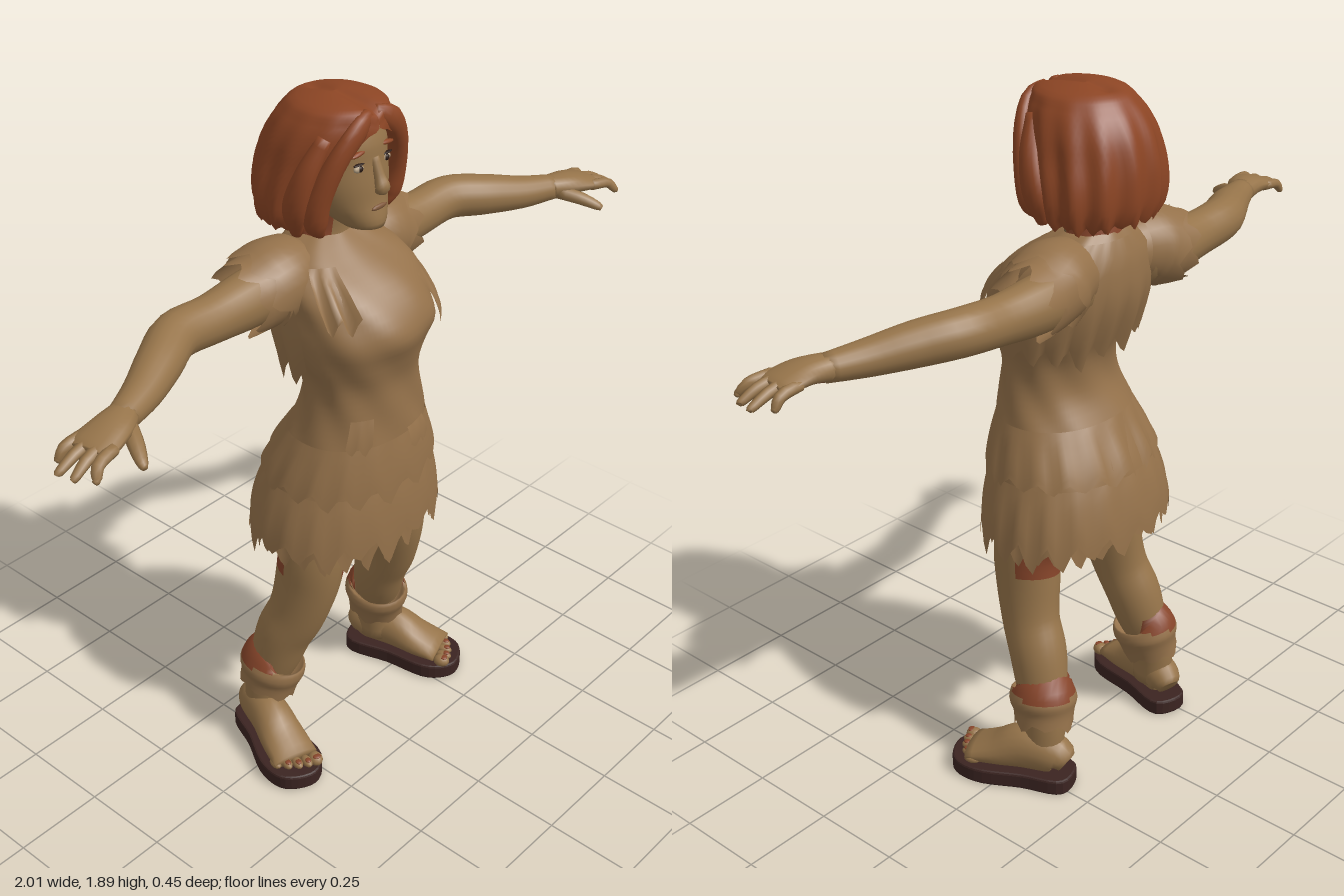
import * as THREE from 'three';

const paint = (name, color, side = THREE.DoubleSide) => {
  const m = new THREE.MeshStandardMaterial({ color, side });
  m.name = name;
  return m;
};
const V = (x, y, z) => new THREE.Vector3(x, y, z);
const rnd = (i, seed) => { const x = Math.sin(i * 127.1 + seed * 311.7) * 43758.5; return x - Math.floor(x); };
// torn-edge tooth length, 0..1, four columns per tooth
const jag = (j, seed) => [0, 0.7, 1, 0.35][j & 3] * (0.35 + 0.65 * rnd(j >> 2, seed));

// smooth lookup through rows of [t, ...values]
function profile(rows) {
  const ip = new THREE.CubicInterpolant(rows.map(r => r[0]), rows.flatMap(r => r.slice(1)), rows[0].length - 1);
  return t => [...ip.evaluate(t)];
}

// closed or open sheet of quads; pick chooses a material for each quad
function grid(name, mat, cols, rows, fn, wrap = true, pick = null) {
  const w = wrap ? cols : cols + 1, pts = [], geo = new THREE.BufferGeometry();
  for (let i = 0; i <= rows; i++) for (let j = 0; j < w; j++) pts.push(fn(j, i));
  const lists = [[], []];
  for (let i = 0; i < rows; i++) for (let j = 0; j < cols; j++) {
    const k = (j + 1) % w, a = i * w + j, b = i * w + k, c = b + w, d = a + w;
    const mid = pts[a].clone().add(pts[c]).multiplyScalar(0.5);
    lists[pick && pick(mid) ? 1 : 0].push(a, b, c, a, c, d);
  }
  geo.setFromPoints(pts);
  geo.setIndex([...lists[0], ...lists[1]]);
  if (pick) {
    geo.addGroup(0, lists[0].length, 0);
    geo.addGroup(lists[0].length, lists[1].length, 1);
  }
  geo.computeVertexNormals();
  const mesh = new THREE.Mesh(geo, mat);
  mesh.name = name;
  return mesh;
}

// body of elliptical sections through keys [x, y, z, sideRadius, upRadius]
function limb(name, mat, keys, { n = 14, rows = 14, up = V(0, 1, 0), cap = true, tear = 0, seed = 1, pick = null } = {}) {
  const p = profile(keys.map((k, i) => [i, ...k])), last = keys.length - 1, extra = cap ? 1 : 0;
  return grid(name, mat, n, rows + 2 * extra, (j, i) => {
    const v = THREE.MathUtils.clamp((i - extra) / rows, 0, 1), t = v * last;
    const size = cap && (i === 0 || i === rows + 2) ? 0 : 1;
    const [x, y, z, ra, rb] = p(t);
    const tan = V(...p(t + 0.02)).sub(V(...p(t - 0.02))).normalize();
    const side = tan.clone().cross(up).normalize(), top = side.clone().cross(tan);
    const a = (j / n) * Math.PI * 2;
    return V(x, y, z).addScaledVector(side, Math.sin(a) * ra * size).addScaledVector(top, Math.cos(a) * rb * size)
      .addScaledVector(tan, v === 1 ? tear * jag(j, seed) : 0);
  }, true, pick);
}

// upright surface from rows of [y, halfWidth, frontZ, backZ]
function upright(rows, power = 1) {
  const p = profile(rows), sq = s => Math.sign(s) * Math.abs(s) ** power;
  return (a, y, off = 0, at = y) => {
    const [w, f, b] = p(at);
    return V((w + off) * sq(Math.sin(a)), y, (f + b) / 2 + ((f - b) / 2 + off) * sq(Math.cos(a)));
  };
}

export function createModel() {
  const skin = paint('skin', 0x96744a), cloth = paint('cloth', 0x94714a), hair = paint('hair', 0x8c4524);
  const ruddy = paint('ruddy skin', 0x87452a), sole = paint('sole', 0x3b2421);
  const white = paint('eye white', 0xb5a184), dark = paint('pupil', 0x2a1a14), lip = paint('lip', 0x80583a);
  const g = new THREE.Group();
  g.name = 'figure';
  const add = (...m) => g.add(...m);
  const TAU = Math.PI * 2;

  // dress
  const dress = upright([
    [0.68, 0.272, 0.2, -0.2], [0.8, 0.255, 0.2, -0.19], [0.9, 0.232, 0.2, -0.17], [1.0, 0.2, 0.195, -0.12],
    [1.1, 0.17, 0.19, -0.075], [1.18, 0.167, 0.19, -0.075], [1.25, 0.188, 0.205, -0.1], [1.32, 0.2, 0.225, -0.13],
    [1.38, 0.197, 0.2, -0.15], [1.44, 0.19, 0.145, -0.155], [1.5, 0.15, 0.06, -0.15], [1.535, 0.085, 0.01, -0.13]], 0.92);
  add(grid('dress', cloth, 96, 42, (j, i) => {
    const v = i / 42, a = j / 96 * TAU, y = 0.71 + 0.825 * v;
    const front = Math.max(0, Math.cos(a)) ** 6;
    const drop = Math.max(0, 1 - v * 6) * (0.06 + 0.03 * front) * jag(j, 3);
    return dress(a, y - drop, 0.005 * Math.sin(5 * a + 9 * y) * Math.sin(23 * y + 3 * a), y);
  }));

  // torn layers and patches lying on the dress
  const flap = (name, a0, a1, y0, y1, off, tear, cols, seed) => add(grid(name, cloth, cols, 8, (j, i) => {
    const v = i / 8, a = a0 + (a1 - a0) * j / cols, y = y0 + (y1 - y0) * v;
    return dress(a, y - tear * jag(j, seed) * (1 - v), 0.004 + off * (1 - v * v), y);
  }, a1 - a0 > 6.2));
  flap('hemLayer', 0, TAU, 0.74, 0.88, 0.016, 0.09, 72, 8);
  flap('skirtLayer', 0, TAU, 0.9, 1.02, 0.012, 0.07, 64, 5);
  flap('backCape', 1.5, TAU - 1.5, 1.25, 1.52, 0.022, 0.07, 40, 11);
  flap('chestPatch', 0.55, 1.0, 1.32, 1.42, 0.012, 0.06, 8, 4);
  flap('shoulderPatch', -1.1, -0.6, 1.4, 1.49, 0.016, 0.05, 8, 6);
  flap('waistPatch', -0.9, -0.5, 1.03, 1.1, 0.01, 0.04, 8, 9);
  flap('bellyPatch', 0.1, 0.5, 0.98, 1.03, 0.01, 0.04, 8, 2);

  // neck, ruddy at the sides and back
  add(limb('neck', [skin, ruddy], [[0, 1.47, -0.06, 0.1, 0.08], [0, 1.54, -0.06, 0.068, 0.068], [0, 1.64, -0.04, 0.06, 0.06]],
    { n: 20, up: V(0, 0, 1), pick: p => Math.abs(p.x) > 0.035 || p.z < -0.05 }));

  // head
  const head = upright([
    [1.565, 0.0, 0.09, 0.07], [1.575, 0.042, 0.115, 0.01], [1.6, 0.068, 0.12, -0.05], [1.64, 0.096, 0.112, -0.1],
    [1.69, 0.113, 0.108, -0.13], [1.74, 0.118, 0.102, -0.15], [1.8, 0.115, 0.095, -0.15],
    [1.85, 0.09, 0.06, -0.12], [1.88, 0, -0.03, -0.03]]);
  add(grid('head', skin, 32, 24, (j, i) => head(j / 32 * TAU, 1.565 + 0.315 * i / 24)));
  add(limb('nose', skin, [[0, 1.755, 0.096, 0.012, 0.01], [0, 1.71, 0.112, 0.014, 0.014], [0, 1.685, 0.122, 0.02, 0.018],
    [0, 1.672, 0.112, 0.014, 0.01]], { up: V(0, 0, 1), n: 10 }));
  const bead = (name, mat, x, y, z, sx, sy, sz, parent = g, turn = 0) => {
    const m = new THREE.Mesh(new THREE.SphereGeometry(1, 12, 8), mat);
    m.name = name;
    m.position.set(x, y, z);
    m.scale.set(sx, sy, sz);
    m.rotation.z = turn;
    parent.add(m);
  };
  bead('mouth', lip, 0, 1.632, 0.113, 0.028, 0.007, 0.005);

  // hair: bobbed shell, parted and open at the face
  const bob = upright([
    [1.57, 0.152, 0.03, -0.195], [1.6, 0.175, 0.05, -0.213], [1.66, 0.181, 0.07, -0.222], [1.74, 0.168, 0.1, -0.215],
    [1.8, 0.153, 0.112, -0.195], [1.85, 0.125, 0.108, -0.16], [1.88, 0.09, 0.085, -0.12], [1.9, 0, -0.03, -0.03]]);
  const gap = profile([[1.55, 0.85], [1.7, 0.85], [1.78, 0.55], [1.82, 0.22], [1.845, 0], [1.91, 0]]);
  add(grid('hair', hair, 72, 26, (j, i) => {
    const y = 1.58 + 0.32 * Math.sin(i / 26 * Math.PI / 2), open = Math.max(0, gap(y)[0]);
    const a = open + (TAU - 2 * open) * j / 72, low = THREE.MathUtils.clamp((1.88 - y) * 6, 0, 1);
    const p = bob(a, y - (i < 2 ? 0.02 * jag(j, 7) : 0), 0.007 * low * Math.cos(a * 13), y);
    if (p.z > -0.1) p.y -= 0.013 * Math.exp(-((p.x / 0.022) ** 2));
    return p;
  }, false));

  for (const s of [1, -1]) {
    const S = keys => keys.map(([x, ...r]) => [x * s, ...r]);
    const front = V(0, 0, 1);

    // face-framing locks
    add(limb('frontLock', hair, S([[0.012, 1.862, 0.085, 0.018, 0.015], [0.06, 1.835, 0.095, 0.03, 0.018], [0.108, 1.77, 0.075, 0.027, 0.025],
      [0.135, 1.68, 0.045, 0.03, 0.03], [0.135, 1.61, 0.03, 0.03, 0.03], [0.118, 1.572, 0.03, 0.01, 0.012]]), { up: front }));
    add(limb('sideLock', hair, S([[0.11, 1.82, 0.04, 0.02, 0.02], [0.152, 1.73, 0.015, 0.025, 0.03],
      [0.164, 1.64, -0.01, 0.025, 0.035], [0.15, 1.57, -0.02, 0.01, 0.015]]), { up: front }));

    // eye and brow
    bead('eye', white, s * 0.047, 1.738, 0.089, 0.018, 0.01, 0.008);
    bead('pupil', dark, s * 0.047, 1.738, 0.094, 0.008, 0.008, 0.005);
    bead('eyelid', dark, s * 0.048, 1.749, 0.091, 0.021, 0.003, 0.006);
    bead('eyebrow', hair, s * 0.05, 1.775, 0.089, 0.026, 0.006, 0.008, g, -s * 0.12);

    // arm and torn sleeve
    add(limb('arm', skin, S([[0.12, 1.42, -0.09, 0.07, 0.07], [0.25, 1.41, -0.09, 0.068, 0.073], [0.38, 1.41, -0.086, 0.058, 0.062],
      [0.5, 1.418, -0.08, 0.058, 0.059], [0.6, 1.408, -0.03, 0.056, 0.055], [0.7, 1.395, 0.02, 0.047, 0.045],
      [0.8, 1.39, 0.06, 0.036, 0.034]]), { n: 18, rows: 24 }));
    add(limb('sleeve', cloth, S([[0.09, 1.44, -0.065, 0.085, 0.085], [0.16, 1.438, -0.07, 0.1, 0.1], [0.22, 1.425, -0.08, 0.095, 0.098],
      [0.26, 1.42, -0.085, 0.092, 0.096]]), { n: 32, rows: 10, cap: false, tear: 0.06, seed: 12 + s }));
    add(limb('sleeveLayer', cloth, S([[0.11, 1.45, -0.07, 0.09, 0.09], [0.17, 1.443, -0.073, 0.108, 0.104], [0.21, 1.43, -0.08, 0.112, 0.106]]),
      { n: 28, rows: 6, cap: false, tear: 0.05, seed: 16 + s }));

    // hand with ruddy palm
    add(limb('palm', [skin, ruddy], S([[0.78, 1.391, 0.052, 0.036, 0.034], [0.84, 1.394, 0.075, 0.052, 0.028],
      [0.9, 1.386, 0.088, 0.06, 0.02], [0.925, 1.38, 0.092, 0.05, 0.014]]), { pick: p => p.y < 1.376 && p.x * s > 0.82 }));
    [[0.042, 0.968, 0.038], [0.073, 1.0, 0.078], [0.104, 0.993, 0.12], [0.132, 0.968, 0.16]].forEach(([z, tx, tz]) =>
      add(limb('finger', skin, S([[0.885, 1.387, z, 0.016, 0.015], [0.94, 1.38, (z + tz) / 2, 0.015, 0.014],
        [tx - 0.008, 1.358, tz, 0.011, 0.01], [tx, 1.353, tz, 0.006, 0.006]]), { n: 8, rows: 8 })));
    add(limb('thumb', skin, S([[0.795, 1.383, 0.08, 0.02, 0.02], [0.825, 1.37, 0.135, 0.02, 0.018],
      [0.848, 1.353, 0.178, 0.014, 0.013], [0.853, 1.346, 0.192, 0.007, 0.007]]), { n: 8, rows: 8 }));

    // leg, ruddy at the inner and rear thigh
    add(limb('leg', [skin, ruddy], S([[0.243, 0.08, -0.085, 0.05, 0.06], [0.235, 0.2, -0.085, 0.052, 0.062], [0.215, 0.3, -0.058, 0.068, 0.074],
      [0.203, 0.38, -0.035, 0.074, 0.08], [0.19, 0.46, 0.0, 0.07, 0.084], [0.175, 0.56, 0.022, 0.075, 0.094],
      [0.162, 0.66, 0.03, 0.085, 0.1], [0.135, 0.78, 0.01, 0.1, 0.12], [0.11, 0.92, 0, 0.1, 0.12]]),
    { n: 24, rows: 36, up: front, pick: p => p.y > 0.7 || (p.y > 0.6 && (p.x * s < 0.14 || p.z < 0)) }));

    // ankle wrap with ruddy rim
    add(limb('ankleWrap', [cloth, ruddy], S([[0.215, 0.285, -0.062, 0.062, 0.068], [0.218, 0.28, -0.066, 0.078, 0.088], [0.222, 0.25, -0.07, 0.088, 0.096],
      [0.226, 0.22, -0.075, 0.078, 0.088], [0.232, 0.19, -0.08, 0.073, 0.084]]),
    { n: 28, rows: 12, up: front, cap: false, tear: 0.025, seed: 20 + s, pick: p => p.y > 0.278 }));

    // sandal and foot, turned outward
    const foot = new THREE.Group();
    foot.name = 'foot';
    foot.position.set(s * 0.28, 0, -0.005);
    foot.rotation.y = s * 0.33;
    const outline = new THREE.Shape();
    outline.setFromPoints(new THREE.CatmullRomCurve3([[-0.042, -0.165], [0.042, -0.165], [0.058, -0.05], [0.078, 0.08], [0.05, 0.15],
      [-0.03, 0.168], [-0.076, 0.11], [-0.058, -0.03]].map(([x, z]) => V(x * s, -z, 0)), true).getPoints(40).slice(0, -1));
    const slab = new THREE.ExtrudeGeometry(outline, { depth: 0.033, bevelSize: 0.006, bevelThickness: 0.006, bevelSegments: 2 });
    slab.rotateX(-Math.PI / 2).translate(0, 0.006, 0);
    const base = new THREE.Mesh(slab, sole);
    base.name = 'sandalSole';
    foot.add(base);
    foot.add(limb('footBody', skin, [[0, 0.075, -0.158, 0.03, 0.03], [0, 0.095, -0.13, 0.05, 0.055], [0, 0.1, -0.04, 0.056, 0.065],
      [0, 0.076, 0.04, 0.064, 0.045], [0, 0.06, 0.115, 0.066, 0.024]], { n: 18 }));
    for (let k = 0; k < 5; k++) {
      const x = s * (-0.05 + k * 0.026), z = 0.137 - k * k * 0.0025, r = k ? 0.014 : 0.02;
      bead('toe', skin, x, 0.055, z, r, r * 0.9, 0.024, foot);
      bead('toenail', ruddy, x, 0.055 + r * 0.72, z + 0.008, r * 0.6, 0.004, 0.01, foot);
    }
    add(foot);
  }
  return g;
}
